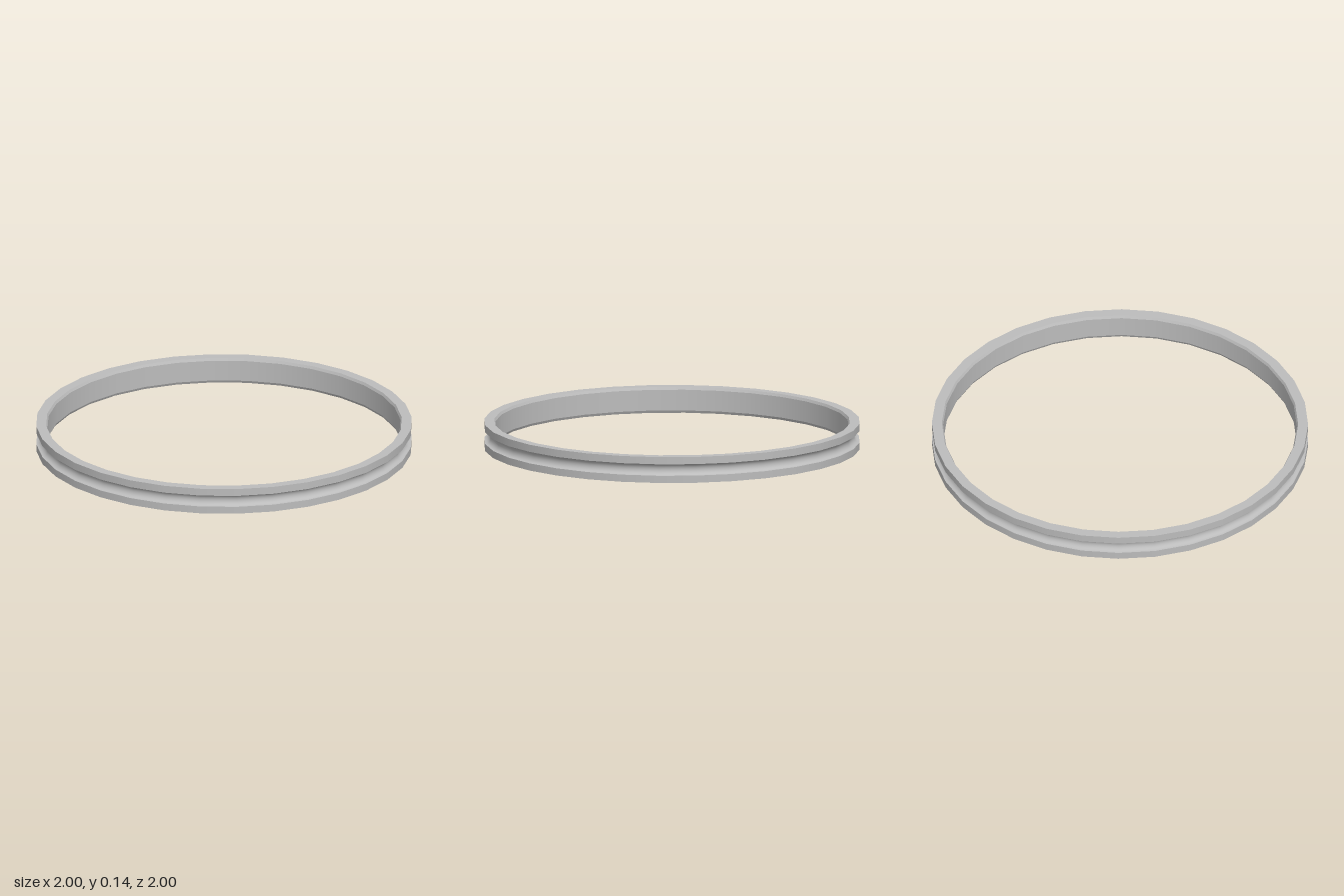
import * as THREE from 'three';

const SEGMENTS = 32;
const HEIGHT = 0.14;
const OUTER = 1;
const INNER = 0.94;
const LIP = 0.947; // inner radius at the chamfered rims
const CHAMFER = 0.014;
const GROOVE = 0.031;

export function createModel() {
  const ring = new THREE.Group();
  ring.name = 'groovedRing';
  const metal = new THREE.MeshStandardMaterial({ color: 0xbcbcbc });
  metal.name = 'grey metal';

  // Each band is turned separately so that edges between bands stay sharp
  const band = (name, points) => {
    const profile = points.map(([r, y]) => new THREE.Vector2(r, y));
    const mesh = new THREE.Mesh(new THREE.LatheGeometry(profile, SEGMENTS), metal);
    mesh.name = name;
    ring.add(mesh);
  };

  const mid = HEIGHT / 2;

  // Outer wall with a half-round groove
  band('lowerOuterBand', [[OUTER, 0], [OUTER, mid - GROOVE]]);
  const groove = [];
  for (let i = 0; i <= 12; i++) {
    const a = -Math.PI / 2 + (Math.PI * i) / 12;
    groove.push([OUTER - 0.028 * Math.cos(a), mid + GROOVE * Math.sin(a)]);
  }
  band('outerGroove', groove);
  band('upperOuterBand', [[OUTER, mid + GROOVE], [OUTER, HEIGHT]]);

  // Flat rims and chamfered inner wall
  band('topRim', [[OUTER, HEIGHT], [LIP, HEIGHT]]);
  band('topChamfer', [[LIP, HEIGHT], [INNER, HEIGHT - CHAMFER]]);
  band('innerWall', [[INNER, HEIGHT - CHAMFER], [INNER, CHAMFER]]);
  band('bottomChamfer', [[INNER, CHAMFER], [LIP, 0]]);
  band('bottomRim', [[LIP, 0], [OUTER, 0]]);

  return ring;
}
